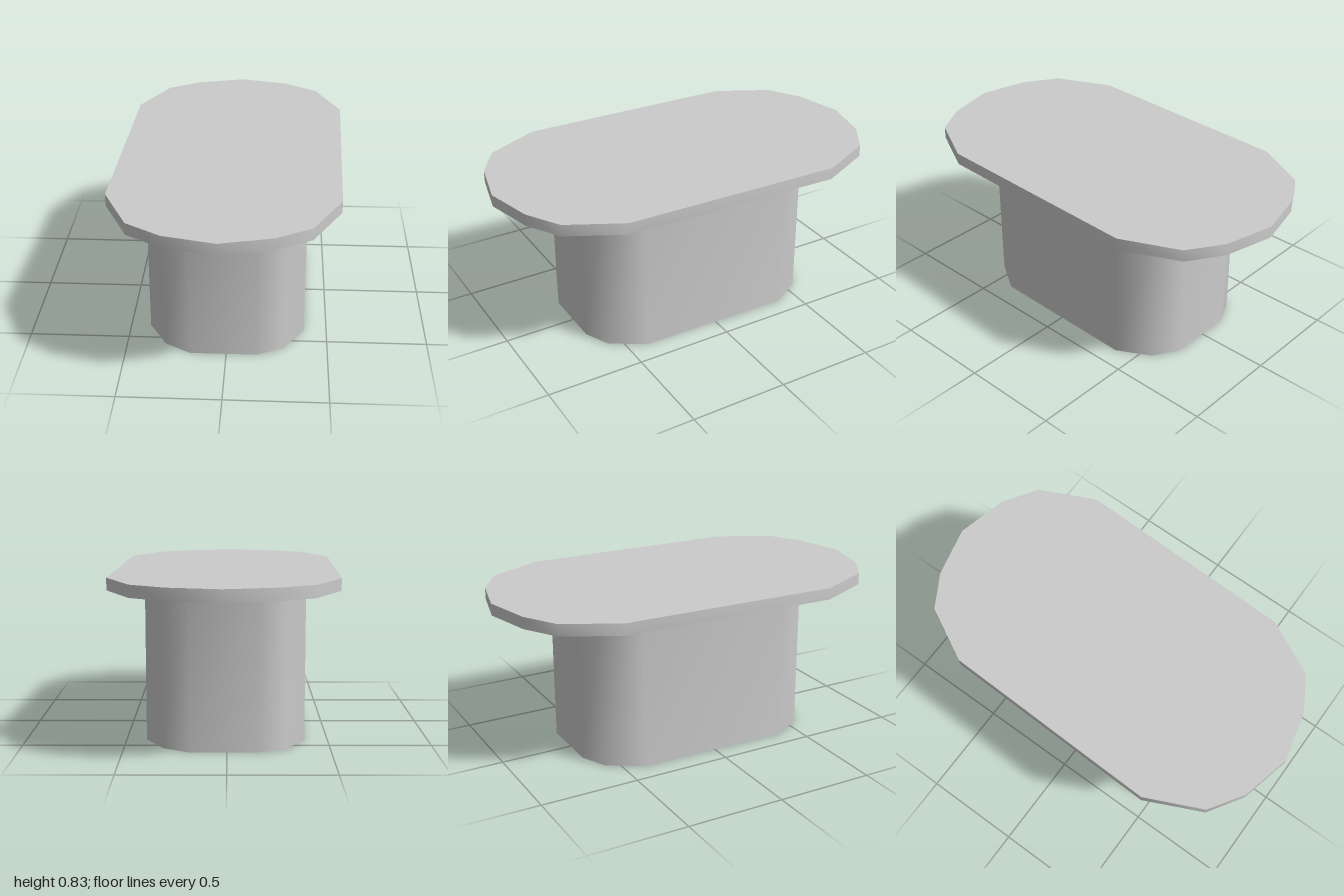
import * as THREE from 'three';
import { toCreasedNormals } from 'three/addons/utils/BufferGeometryUtils.js';

const PLATE_BOTTOM = 0.77;
const PLATE_TOP = 0.83;

// Half outlines as [x, z], running from the front round the left side to the back
const PLATE_HALF = [[-0.02, 1], [0.23, 0.94], [0.4, 0.84], [0.54, 0.57], [0.57, -0.55], [0.44, -0.83], [0.27, -0.94]];
const BASE_HALF = [[0.15, 0.63], [0.28, 0.57], [0.385, 0.4], [0.4, -0.39], [0.308, -0.553], [0.18, -0.63]];

// Complete an outline by a half turn about the vertical axis
const fullOutline = (half) => [...half, ...half.map(([x, z]) => [-x, -z])];

// Open, smooth-shaded wall following an outline
function wallGeometry(outline, y0, y1) {
  const positions = [];
  const indices = [];
  const n = outline.length;
  outline.forEach(([x, z], i) => {
    positions.push(x, y0, z, x, y1, z);
    const a = 2 * i;
    const b = 2 * ((i + 1) % n);
    indices.push(a, b, b + 1, a, b + 1, a + 1);
  });
  const geometry = new THREE.BufferGeometry();
  geometry.setAttribute('position', new THREE.Float32BufferAttribute(positions, 3));
  geometry.setIndex(indices);
  geometry.computeVertexNormals();
  return geometry;
}

// Solid slab with a smooth rim and sharp top and bottom edges
function slabGeometry(outline, y0, y1) {
  const shape = new THREE.Shape(outline.map(([x, z]) => new THREE.Vector2(x, -z)));
  const geometry = new THREE.ExtrudeGeometry(shape, { depth: y1 - y0, bevelEnabled: false });
  geometry.rotateX(-Math.PI / 2).translate(0, y0, 0);
  return toCreasedNormals(geometry, Math.PI / 3);
}

export function createModel() {
  const group = new THREE.Group();
  group.name = 'pedestalTable';

  // Table top
  const top = new THREE.Mesh(
    slabGeometry(fullOutline(PLATE_HALF), PLATE_BOTTOM, PLATE_TOP),
    new THREE.MeshStandardMaterial({ color: 0xcccccc })
  );
  top.name = 'tableTop';

  // Hollow pedestal, open underneath
  const base = new THREE.Mesh(
    wallGeometry(fullOutline(BASE_HALF), 0, PLATE_BOTTOM),
    new THREE.MeshStandardMaterial({ color: 0xcccccc, side: THREE.DoubleSide })
  );
  base.name = 'pedestal';

  group.add(top, base);
  return group;
}
